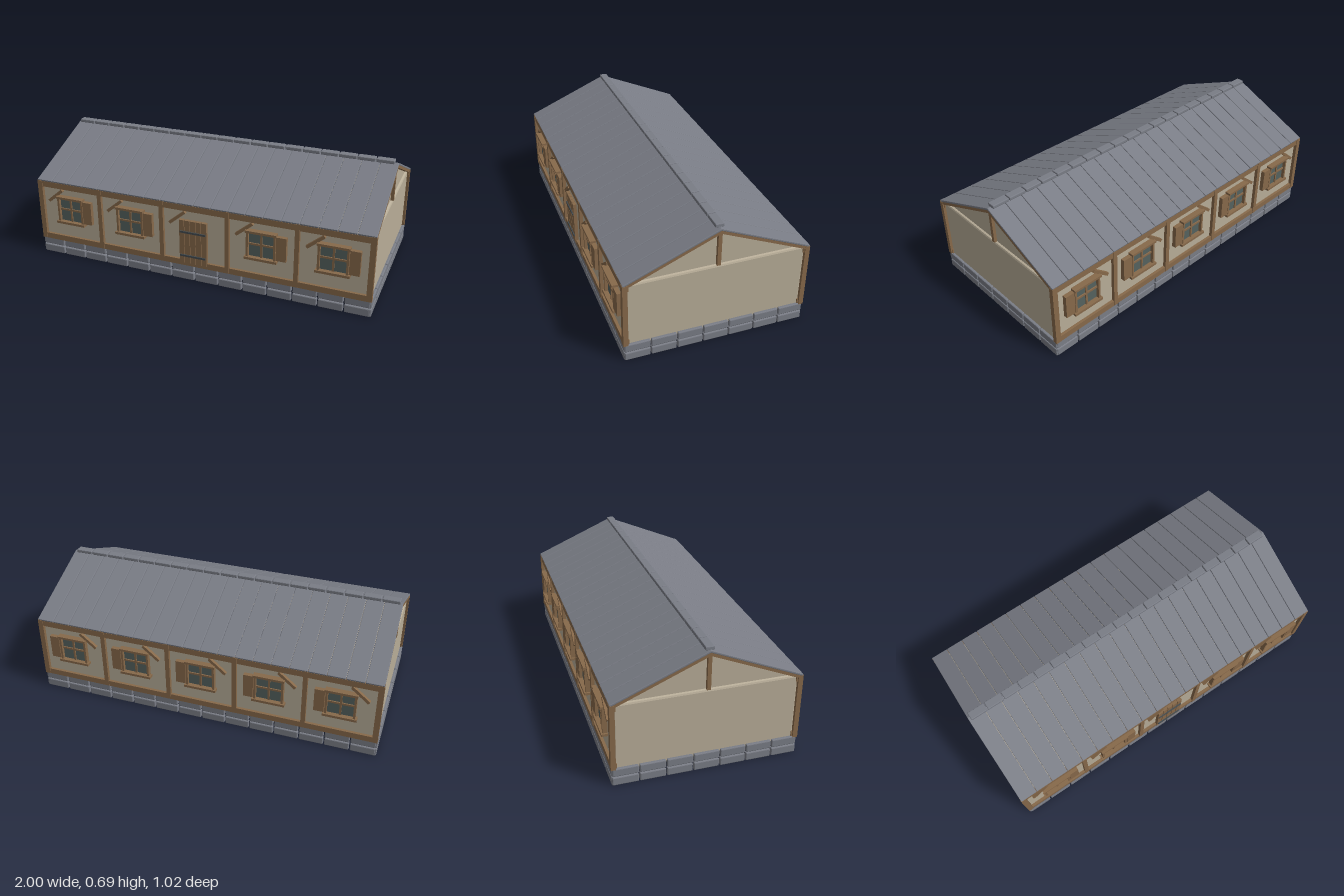
import * as THREE from 'three';
import { RoundedBoxGeometry } from 'three/addons/geometries/RoundedBoxGeometry.js';

const mat = (name, color) => {
  const m = new THREE.MeshStandardMaterial({ color });
  m.name = name;
  return m;
};

export function createModel() {
  const slate = mat('slate', 0x7a7d86);
  const plaster = mat('plaster', 0xb8ad98);
  const timber = mat('timber', 0x87694a);
  const glass = mat('glass', 0x55625f);
  const iron = mat('iron', 0x444c50);

  const model = new THREE.Group();
  model.name = 'longhouse';

  const group = (name, parent = model) => {
    const g = new THREE.Group();
    g.name = name;
    parent.add(g);
    return g;
  };
  // Box with chamfered edges when bevel > 0
  const box = (parent, name, material, [w, h, d], [x, y, z], bevel = 0) => {
    let geo;
    if (bevel) {
      geo = new RoundedBoxGeometry(w, h, d, 1, bevel);
      if (geo.index) geo = geo.toNonIndexed();
      geo.computeVertexNormals();
    } else geo = new THREE.BoxGeometry(w, h, d);
    const mesh = new THREE.Mesh(geo, material);
    mesh.name = name;
    mesh.position.set(x, y, z);
    parent.add(mesh);
    return mesh;
  };

  // Stone foundation: two courses around a hollow ring
  const foundation = group('foundation');
  for (const [y, h] of [[0.026, 0.046], [0.077, 0.045]]) {
    for (const s of [-1, 1]) {
      const p = 1.988 / 14;
      for (let i = 0; i < 14; i++)
        box(foundation, 'foundationStone', slate, [p - 0.007, h, 0.025], [(i - 6.5) * p, y, s * 0.481], 0.005);
      const q = 0.986 / 7;
      for (let i = 0; i < 7; i++)
        box(foundation, 'foundationStone', slate, [0.025, h, q - 0.006], [s * 0.985, y, (i - 3) * q], 0.005);
    }
  }

  // Plastered walls and the gable prism above them
  box(model, 'walls', plaster, [1.966, 0.388, 0.956], [0, 0.269, 0], 0.012);
  const tri = new THREE.Shape();
  tri.moveTo(-0.47, 0.455);
  tri.lineTo(0.47, 0.455);
  tri.lineTo(0, 0.662);
  const gableGeo = new THREE.ExtrudeGeometry(tri, { depth: 1.94, bevelEnabled: false });
  gableGeo.translate(0, 0, -0.97);
  gableGeo.rotateY(Math.PI / 2);
  const gable = new THREE.Mesh(gableGeo, plaster);
  gable.name = 'gable';
  model.add(gable);

  // Timber frame
  const BAY = 0.392;
  const frame = group('timberFrame');
  for (const s of [-1, 1]) {
    box(frame, 'sillBeam', timber, [1.98, 0.034, 0.03], [0, 0.11, s * 0.479]);
    box(frame, 'topBeam', timber, [1.98, 0.034, 0.03], [0, 0.445, s * 0.479]);
    for (let i = 0; i < 6; i++) {
      const corner = i === 0 || i === 5;
      box(frame, corner ? 'cornerPost' : 'wallPost', timber, [corner ? 0.03 : 0.025, 0.37, 0.026],
        [(i - 2.5) * BAY + (corner ? Math.sign(i - 2) * 0.002 : 0), 0.28, s * 0.484]);
    }
    box(frame, 'kingPost', timber, [0.02, 0.2, 0.02], [s * 0.977, 0.562, 0]);
  }

  // One window with lintel, sill, mullions and a single open shutter
  const addWindow = (x, s) => {
    const g = group('window');
    const part = (name, m, w, h, d, px, y, z, bevel = 0) =>
      box(g, name, m, [w, h, d], [x + px, y, s * z], bevel);
    part('windowGlass', glass, 0.15, 0.15, 0.008, 0, 0.3, 0.482);
    part('windowSill', timber, 0.185, 0.014, 0.04, 0, 0.223, 0.492);
    part('lintel', timber, 0.175, 0.013, 0.04, 0, 0.379, 0.492);
    for (const e of [-1, 1]) part('jamb', timber, 0.012, 0.145, 0.03, e * 0.077, 0.301, 0.489);
    part('mullion', timber, 0.011, 0.145, 0.016, 0, 0.301, 0.485);
    part('glazingBar', timber, 0.145, 0.011, 0.016, 0, 0.303, 0.485);
    part('shutter', timber, 0.056, 0.138, 0.024, 0.114, 0.304, 0.492);
  };

  // Diagonal brace in the upper corner of every bay, windows in all but the door bay
  for (const s of [-1, 1]) {
    for (let i = 0; i < 5; i++) {
      const x = (i - 2) * BAY;
      const brace = box(frame, 'brace', timber, [0.122, 0.017, 0.022], [x - 0.098, 0.382, s * 0.485]);
      brace.rotation.z = 0.69;
      if (s < 0 || i !== 2) addWindow(x, s);
    }
  }

  // Plank door with iron bands
  const door = group('door');
  box(door, 'doorBacking', timber, [0.158, 0.255, 0.014], [-0.002, 0.243, 0.488]);
  for (let i = 0; i < 5; i++)
    box(door, 'doorPlank', timber, [0.029, 0.262, 0.02], [-0.002 + (i - 2) * 0.0335, 0.243, 0.491]);
  for (const y of [0.16, 0.305])
    box(door, 'ironBand', iron, [0.152, 0.011, 0.01], [-0.002, y, 0.502]);

  // Roof: slate strips on both slopes, rake boards at the ends
  const roof = group('roof');
  const RISE = 0.212, RUN = 0.497;
  const angle = Math.atan2(RISE, RUN);
  const len = Math.hypot(RISE, RUN);
  const sloped = (name, m, w, t, length, x, drop, s, bevel) => {
    const mesh = box(roof, name, m, [w, t, length],
      [x, 0.577 - drop * Math.cos(angle), s * (RUN / 2 - drop * Math.sin(angle))], bevel);
    mesh.rotation.x = s * angle;
  };
  for (const s of [-1, 1]) {
    for (let i = 0; i < 20; i++)
      sloped('roofStrip', slate, 0.0975, 0.012, len, (i - 9.5) * 0.0997, 0.006, s, 0.003);
    for (const e of [-1, 1])
      sloped('rakeBoard', timber, 0.03, 0.016, len - 0.004, e * 0.98, 0.019, s, 0);
  }

  // Ridge tiles
  for (let i = 0; i < 19; i++)
    box(roof, 'ridgeTile', slate, [0.098, 0.02, 0.046], [(i - 9) * 0.1033 - 0.004, 0.688, 0], 0.004);

  return model;
}
